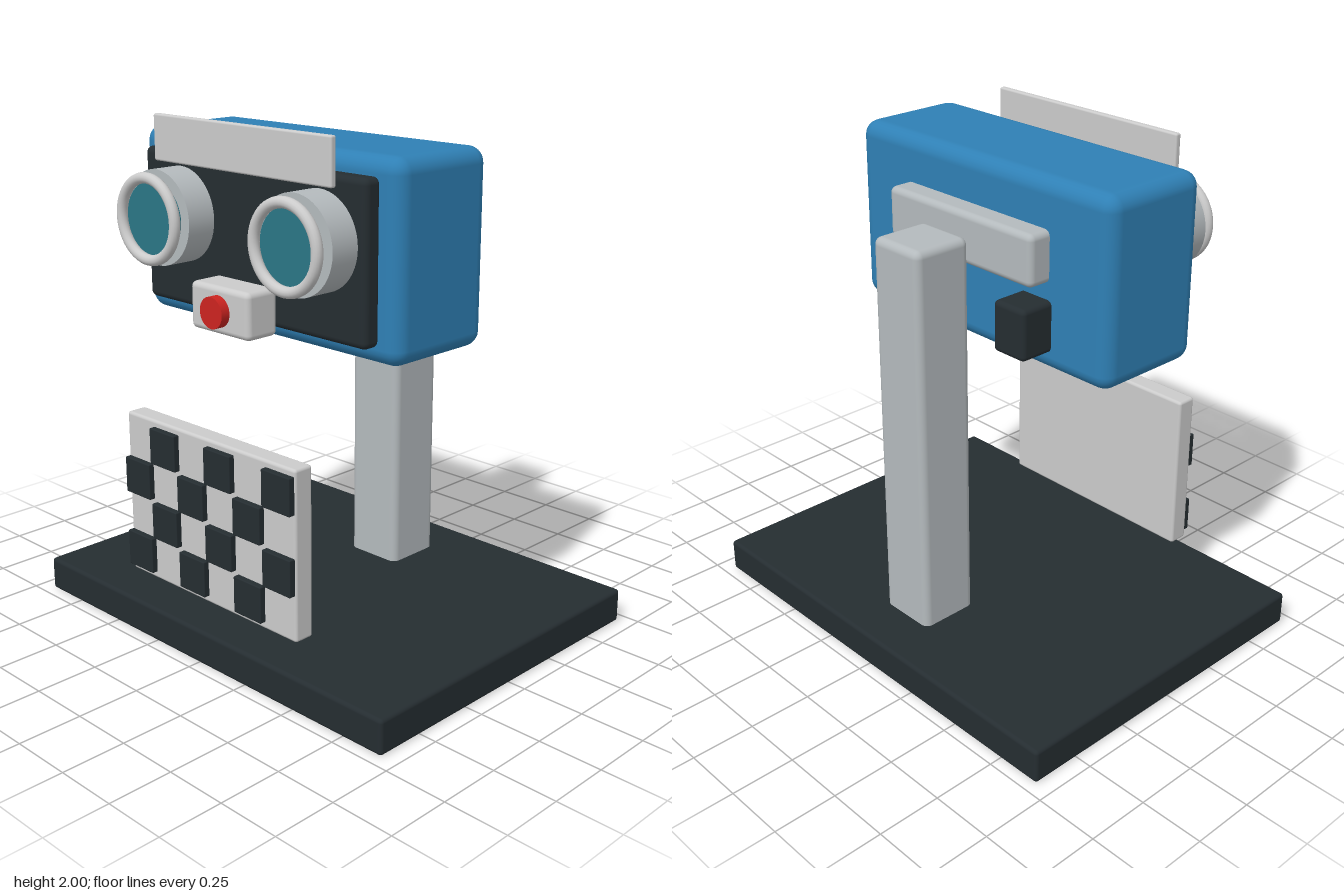
import * as THREE from 'three';
import { RoundedBoxGeometry } from 'three/addons/geometries/RoundedBoxGeometry.js';

const mat = (color) => new THREE.MeshStandardMaterial({ color });

export function createModel() {
  const model = new THREE.Group();
  model.name = 'stereoCameraStand';
  const blue = mat(0x2f80b5), dark = mat(0x252d31), light = mat(0xcccccc);
  const metal = mat(0xb4babd), teal = mat(0x2a7686), red = mat(0xcc2420);

  const add = (name, geometry, material, x, y, z, parent = model) => {
    const mesh = new THREE.Mesh(geometry, material);
    mesh.name = name;
    mesh.position.set(x, y, z);
    parent.add(mesh);
    return mesh;
  };
  // Rounded box given by its extents along each axis
  const box = (name, material, [x0, x1], [y0, y1], [z0, z1], radius, parent) =>
    add(name, new RoundedBoxGeometry(x1 - x0, y1 - y0, z1 - z0, 3, radius), material,
      (x0 + x1) / 2, (y0 + y1) / 2, (z0 + z1) / 2, parent);
  // Cylinder along z from z0 to z1
  const disc = (name, material, radius, x, y, z0, z1, parent) =>
    add(name, new THREE.CylinderGeometry(radius, radius, z1 - z0, 48).rotateX(Math.PI / 2),
      material, x, y, (z0 + z1) / 2, parent);

  // Stand
  box('base', dark, [-0.935, 0.935], [0, 0.137], [-0.705, 0.705], 0.015);
  box('post', metal, [-0.123, 0.123], [0.1, 1.693], [-0.507, -0.262], 0.03);

  // Camera housing
  box('housing', blue, [-0.668, 0.668], [1.21, 1.933], [-0.122, 0.35], 0.06);
  box('facePlate', dark, [-0.578, 0.578], [1.277, 1.865], [0.335, 0.415], 0.025);
  box('labelPlate', light, [-0.463, 0.463], [1.825, 2], [0.435, 0.461], 0.008);

  // Twin lenses
  for (const side of [-1, 1]) {
    const lens = new THREE.Group();
    lens.name = side < 0 ? 'rightLens' : 'leftLens';
    lens.position.set(side * 0.363, 1.63, 0);
    model.add(lens);
    disc('lensBarrel', metal, 0.18, 0, 0, 0.4, 0.535, lens);
    disc('lensGlass', teal, 0.135, 0, 0, 0.53, 0.568, lens);
    add('lensRing', new THREE.TorusGeometry(0.153, 0.021, 14, 56), light, 0, 0, 0.58, lens);
  }

  // Projector under the lenses
  box('projector', light, [-0.156, 0.156], [1.255, 1.432], [0.418, 0.563], 0.022);
  disc('projectorLight', red, 0.059, 0, 1.343, 0.55, 0.6);

  // Rear bracket and connectors
  box('rearBracket', metal, [-0.383, 0.383], [1.553, 1.752], [-0.215, -0.08], 0.025);
  for (const side of [-1, 1]) {
    const xs = [side * 0.318 - 0.079, side * 0.318 + 0.079];
    box('rearConnector', dark, xs, [1.29, 1.49], [-0.26, -0.08], 0.02);
  }

  // Calibration board with alternating raised squares
  const board = new THREE.Group();
  board.name = 'calibrationBoard';
  model.add(board);
  box('boardPanel', light, [-0.463, 0.463], [0.222, 0.878], [0.552, 0.636], 0.012, board);
  const pitch = 0.154, half = 0.0715;
  for (let row = 0; row < 4; row++) {
    for (let col = row % 2; col < 6; col += 2) {
      const x = (col - 2.5) * pitch, y = 0.322 + row * 0.153;
      box('boardSquare', dark, [x - half, x + half], [y - half, y + half], [0.625, 0.66], 0.004, board);
    }
  }
  return model;
}
